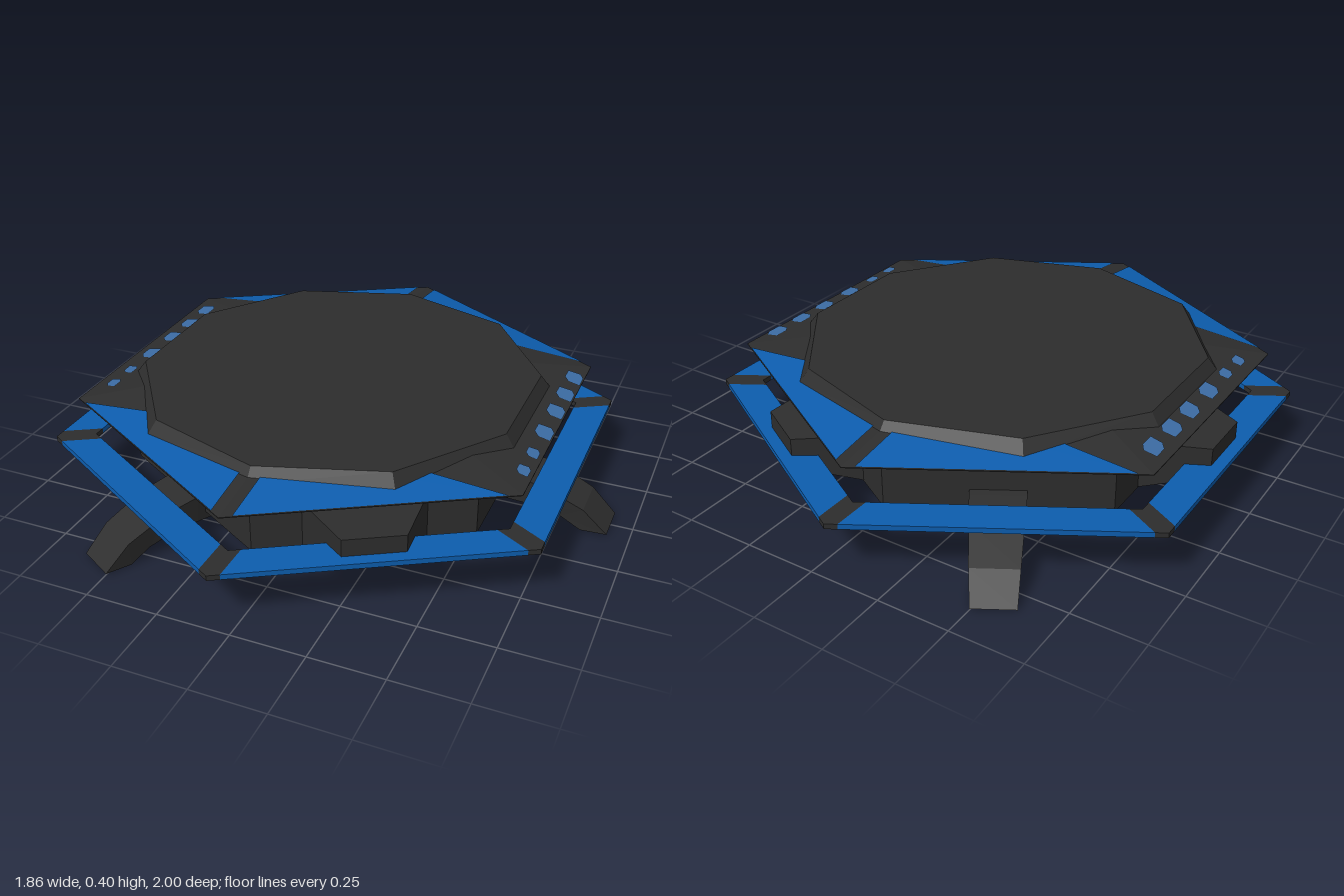
import * as THREE from 'three';

const dark = new THREE.MeshStandardMaterial({ color: 0x2d2d2d });
const blue = new THREE.MeshStandardMaterial({ color: 0x0d5dae, side: THREE.DoubleSide });
const lightBlue = new THREE.MeshStandardMaterial({ color: 0x3c6ca4, side: THREE.DoubleSide });
dark.name = 'charcoal';
blue.name = 'blue';
lightBlue.name = 'light blue';

const DEG = Math.PI / 180;

function flat(geometry) {
  const g = geometry.index ? geometry.toNonIndexed() : geometry;
  g.computeVertexNormals();
  return g;
}

function addMesh(parent, name, geometry, material) {
  const mesh = new THREE.Mesh(geometry, material);
  mesh.name = name;
  parent.add(mesh);
  return mesh;
}

// Tapered prism with a corner on the z axis
function prism(parent, name, sides, rTop, rBottom, yBottom, yTop) {
  const g = new THREE.CylinderGeometry(rTop, rBottom, yTop - yBottom, sides);
  g.translate(0, (yTop + yBottom) / 2, 0);
  return addMesh(parent, name, flat(g), dark);
}

// Horizontal slab from plan points
function slab(points, y, height) {
  const shape = new THREE.Shape(points.map(([x, z]) => new THREE.Vector2(x, z)));
  const g = new THREE.ExtrudeGeometry(shape, { depth: height, bevelEnabled: false });
  g.rotateX(-Math.PI / 2);
  g.translate(0, y, 0);
  return g;
}

// Block running outward along x; each section is [topX, topY, bottomX, bottomY, topHalfWidth, bottomHalfWidth]
function loft(sections) {
  const rings = sections.map(([tx, ty, bx, by, tw, bw]) =>
    [[tx, ty, tw], [tx, ty, -tw], [bx, by, -bw], [bx, by, bw]]);
  const out = [];
  for (let s = 0; s < rings.length - 1; s++) {
    const a = rings[s], b = rings[s + 1];
    for (let i = 0; i < 4; i++) {
      const j = (i + 1) % 4;
      out.push(a[i], b[i], b[j], a[i], b[j], a[j]);
    }
  }
  const e = rings[rings.length - 1];
  out.push(e[0], e[3], e[2], e[0], e[2], e[1]);
  const g = new THREE.BufferGeometry();
  g.setAttribute('position', new THREE.Float32BufferAttribute(out.flat(), 3));
  return flat(g);
}

// Flat convex patch, fanned from its first point
function patch(points) {
  const out = [];
  for (let i = 1; i < points.length - 1; i++) out.push(points[0], points[i + 1], points[i]);
  const g = new THREE.BufferGeometry();
  g.setAttribute('position', new THREE.Float32BufferAttribute(out.flat(), 3));
  return flat(g);
}

export function createModel() {
  const model = new THREE.Group();
  model.name = 'landingPad';
  const pad = new THREE.Group();
  pad.name = 'pad';
  pad.position.x = -0.065;
  model.add(pad);

  // Hexagonal body with bevelled rims
  prism(pad, 'bodyLowerBevel', 6, 0.72, 0.685, 0.075, 0.1);
  prism(pad, 'body', 6, 0.72, 0.72, 0.1, 0.27);
  prism(pad, 'bodyUpperBevel', 6, 0.685, 0.72, 0.27, 0.3);

  // Shallow hexagonal deck and ten-sided platform
  const rim = 0.907, apothem = rim * Math.cos(30 * DEG), slope = 0.16;
  const deckInner = 0.6;
  const deckTop = 0.345 + (rim - deckInner) * Math.cos(30 * DEG) * slope;
  prism(pad, 'deckUnderside', 6, rim, 0.69, 0.3, 0.342);
  prism(pad, 'deckEdge', 6, rim, rim, 0.342, 0.345);
  prism(pad, 'deck', 6, deckInner, rim, 0.345, deckTop);
  prism(pad, 'platform', 10, 0.695, 0.73, 0.355, 0.4);

  // Blue panels on the four front and back deck slopes
  const panel = [[0.035, 0.886], [0.747, 0.475], [0.4, 0.475], [0.035, 0.6]];
  for (const sx of [1, -1]) for (const sz of [1, -1]) {
    const pts = panel.map(([x, z]) => {
      const d = x * 0.5 + z * Math.cos(30 * DEG);
      return [x * sx, 0.348 + (apothem - d) * slope, z * sz];
    });
    if (sx * sz < 0) pts.reverse();
    // Fan order must end up facing upward
    addMesh(pad, 'deckPanel', patch(pts.reverse()), blue);
  }

  // Rows of small lights along both side slopes
  const lamp = [[-0.03, -0.04], [0.015, -0.04], [0.03, -0.015], [0.03, 0.04], [-0.012, 0.035], [-0.03, 0.01]];
  for (const rowX of [-0.725, 0.752]) {
    for (const z of [-0.33, -0.2, -0.07, 0.08, 0.22, 0.33]) {
      const size = z > 0.2 ? 0.7 : 1;
      const pts = lamp.map(([dx, dz]) => {
        const x = rowX + dx * size;
        return [x, 0.348 + (apothem - Math.abs(x)) * slope, z + dz * size];
      });
      addMesh(pad, 'deckLight', patch(pts), lightBlue);
    }
  }

  // Outer hexagonal ring: blue bars joined by dark corners
  const R = 1, r = 0.865, w = 0.035, t30 = Math.tan(30 * DEG);
  const corner = slab([[R, 0], [R - w * t30, w], [r - w * t30, w], [r, 0], [r - w * t30, -w], [R - w * t30, -w]], 0.182, 0.018);
  const c30 = Math.cos(30 * DEG);
  const outerHalf = R / 2 - w / c30, innerHalf = r / 2 - w / c30;
  const bar = slab([[R * c30, -outerHalf], [R * c30, outerHalf], [r * c30, innerHalf], [r * c30, -innerHalf]], 0.182, 0.018);
  for (let i = 0; i < 6; i++) {
    addMesh(pad, 'ringBar', bar, blue).rotation.y = i * 60 * DEG;
    addMesh(pad, 'ringCorner', corner, dark).rotation.y = (i * 60 + 30) * DEG;
  }

  // Three curved legs and, opposite each, a tapered side block
  const leg = loft([
    [0.56, 0.175, 0.56, 0.07, 0.09, 0.08],
    [0.65, 0.17, 0.65, 0.07, 0.09, 0.08],
    [0.765, 0.148, 0.75, 0.062, 0.085, 0.077],
    [0.905, 0.085, 0.83, 0.04, 0.077, 0.072],
    [0.99, 0.004, 0.9, 0, 0.07, 0.07],
  ]);
  const block = loft([
    [0.61, 0.27, 0.61, 0.1, 0.205, 0.205],
    [0.825, 0.26, 0.825, 0.155, 0.1, 0.1],
  ]);
  for (let i = 0; i < 3; i++) {
    addMesh(pad, 'leg', leg, dark).rotation.y = i * 120 * DEG;
    addMesh(pad, 'sideBlock', block, dark).rotation.y = (i * 120 + 180) * DEG;
  }

  return model;
}
